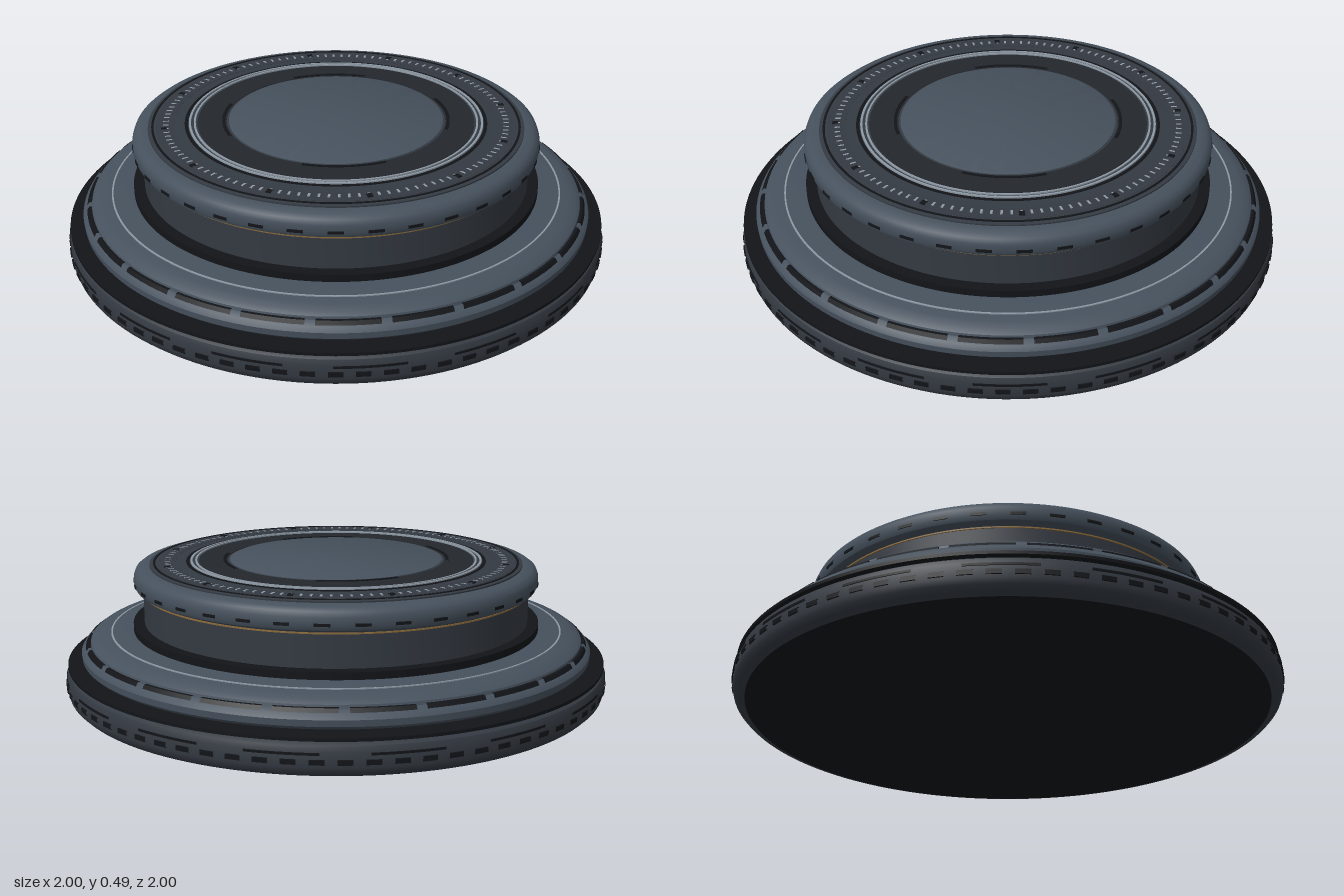
import * as THREE from 'three';
import { toCreasedNormals } from 'three/addons/utils/BufferGeometryUtils.js';

const mat = (color) => new THREE.MeshStandardMaterial({ color, side: THREE.DoubleSide });
const slate = mat(0x46515d), steel = mat(0x343a42), dark = mat(0x23272d);
const black = mat(0x121418), silver = mat(0x8d98a3), gold = mat(0x8a6a3a);

export function createModel() {
  const model = new THREE.Group();

  // Revolved body from [radius, height] pairs, bottom to top
  function turned(name, points, material) {
    const profile = points.map(([r, y]) => new THREE.Vector2(r, y));
    const geometry = toCreasedNormals(new THREE.LatheGeometry(profile, 144), 0.6);
    const mesh = new THREE.Mesh(geometry, material);
    mesh.name = name;
    model.add(mesh);
  }

  // Ring of rectangular section
  function band(name, r0, r1, y0, y1, material) {
    turned(name, [[r0, y0], [r1, y0], [r1, y1], [r0, y1], [r0, y0]], material);
  }

  // Evenly spaced curved bars; fill is the part of each pitch that is solid
  function arcs(name, count, fill, r0, r1, y0, y1, material, offset = 0, slope = 0) {
    const group = new THREE.Group();
    group.name = name;
    const pitch = (Math.PI * 2) / count;
    const profile = [[r0, y0], [r1, y0], [r1 - slope, y1], [r0 - slope, y1], [r0, y0]]
      .map(([r, y]) => new THREE.Vector2(r, y));
    const steps = Math.max(2, Math.ceil(pitch * fill * 20));
    const geometry = toCreasedNormals(
      new THREE.LatheGeometry(profile, steps, -pitch * fill / 2, pitch * fill), 0.6);
    for (let i = 0; i < count; i++) {
      const bar = new THREE.Mesh(geometry, material);
      bar.rotation.y = (i + offset) * pitch;
      group.add(bar);
    }
    model.add(group);
  }

  // Foot: underside, rounded lower tier and its dark seam
  turned('underside', [[0, 0], [0.95, 0]], black);
  turned('lowerTier', [[0.95, 0], [0.975, 0.007], [0.99, 0.022], [0.995, 0.04], [0.995, 0.09],
    [0.988, 0.108], [0.97, 0.12], [0.945, 0.125], [0.9, 0.125]], steel);
  band('lowerSeam', 0.88, 0.99, 0.122, 0.133, black);
  arcs('gripSlots', 72, 0.55, 0.98, 1, 0.05, 0.066, black);
  arcs('lowerDashes', 16, 0.6, 0.98, 0.998, 0.08, 0.088, black, 0.5);

  // Stepped, sloping middle tier
  turned('middleTier', [[0.9, 0.13], [0.925, 0.138], [0.938, 0.15], [0.94, 0.172], [0.93, 0.188],
    [0.908, 0.198], [0.905, 0.21], [0.89, 0.222], [0.86, 0.231], [0.82, 0.236], [0.74, 0.24]], slate);
  arcs('middleSlots', 24, 0.86, 0.895, 0.925, 0.19, 0.203, black, 0.5, 0.008);
  band('silverInlay', 0.826, 0.832, 0.23, 0.238, silver);

  // Dark collar and recessed drum
  turned('collar', [[0.75, 0.235], [0.75, 0.265], [0.7, 0.265]], black);
  turned('drum', [[0.71, 0.262], [0.71, 0.39]], steel);
  band('goldTrim', 0.7, 0.714, 0.379, 0.384, gold);

  // Rounded cap with slots
  turned('cap', [[0.7, 0.386], [0.72, 0.388], [0.735, 0.396], [0.742, 0.41], [0.742, 0.44],
    [0.735, 0.458], [0.72, 0.469], [0.695, 0.474], [0.67, 0.474]], slate);
  arcs('capSlots', 36, 0.4, 0.73, 0.745, 0.411, 0.421, black, 0.5);

  // Top plate with raised rings
  turned('topPlate', [[0.685, 0.468], [0.685, 0.479], [0.67, 0.481], [0, 0.481]], steel);
  band('outerGroove', 0.664, 0.672, 0.478, 0.483, black);
  band('scaleRing', 0.59, 0.655, 0.478, 0.482, steel);
  arcs('scaleTicks', 120, 0.25, 0.61, 0.63, 0.478, 0.4845, silver);
  arcs('scaleStuds', 12, 0.06, 0.617, 0.638, 0.478, 0.486, black, 0.5);
  band('innerGroove', 0.54, 0.552, 0.478, 0.483, black);
  band('outerSilverRing', 0.529, 0.537, 0.478, 0.486, silver);
  band('innerSilverRing', 0.512, 0.519, 0.478, 0.486, silver);
  band('darkRing', 0.4, 0.505, 0.478, 0.483, dark);
  arcs('accentArcs', 4, 0.45, 0.405, 0.416, 0.478, 0.486, black, 0.1);

  // Central disc
  turned('centreDisc', [[0.392, 0.478], [0.392, 0.484], [0.385, 0.487], [0, 0.487]], slate);

  return model;
}
